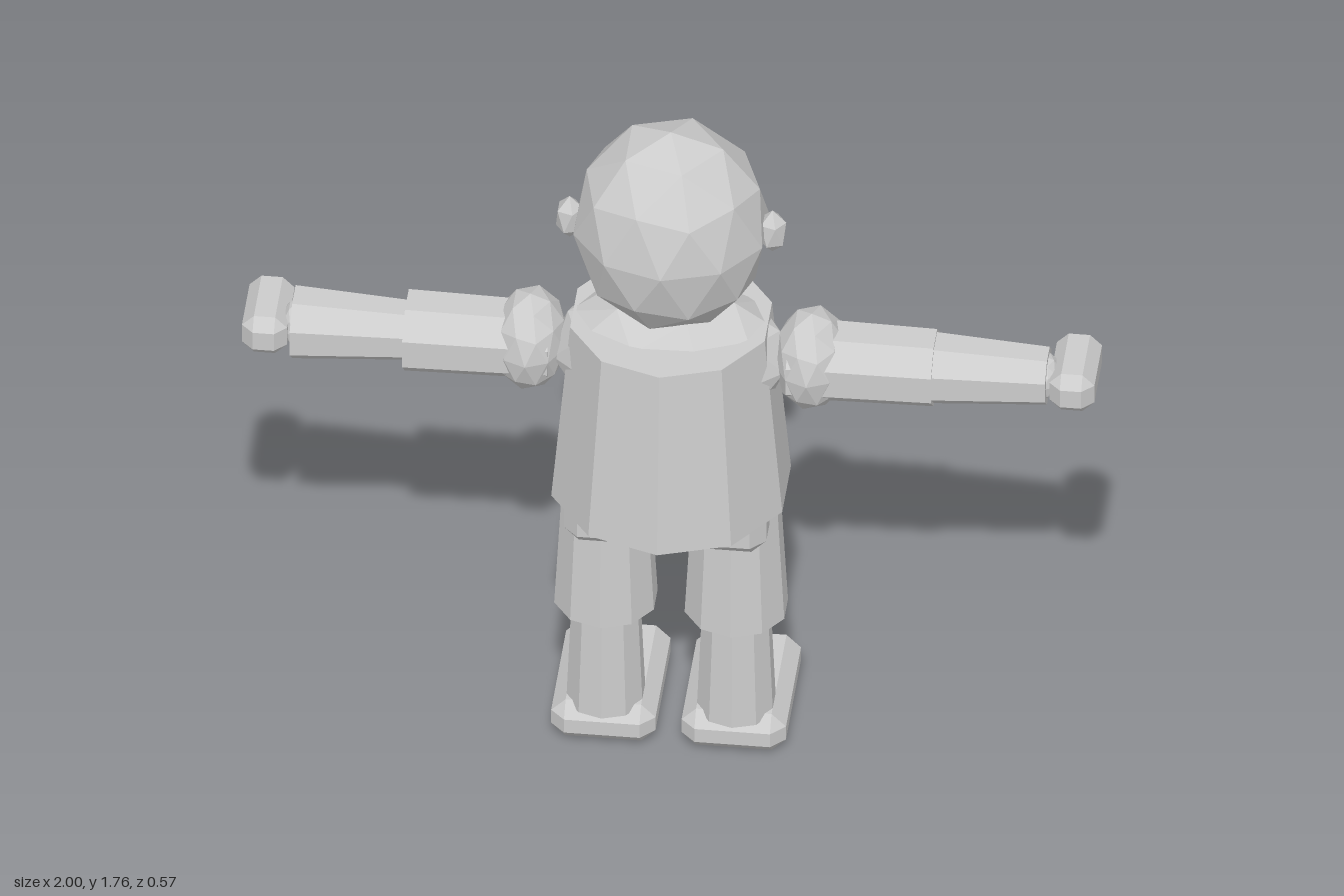
import * as THREE from 'three';
import { ConvexGeometry } from 'three/addons/geometries/ConvexGeometry.js';

const material = new THREE.MeshStandardMaterial({ color: 0xcccccc, flatShading: true });

export function createModel() {
  const model = new THREE.Group();

  function add(name, geometry, x, y, z) {
    const mesh = new THREE.Mesh(geometry, material);
    mesh.name = name;
    mesh.position.set(x, y, z);
    model.add(mesh);
    return mesh;
  }

  // Faceted ellipsoid with a vertex at its top
  function ball(name, x, y, z, rx, ry, rz, detail = 1) {
    const g = new THREE.IcosahedronGeometry(1, detail);
    g.rotateZ(-Math.atan(2 / (1 + Math.sqrt(5))));
    g.scale(rx, ry, rz);
    return add(name, g, x, y, z);
  }

  // Box with every edge cut at 45 degrees
  function chamferBox(name, x, y, z, w, h, d, c) {
    const points = [];
    for (const sx of [-1, 1]) for (const sy of [-1, 1]) for (const sz of [-1, 1]) {
      const [a, b, e] = [w / 2, h / 2, d / 2];
      points.push(
        new THREE.Vector3(sx * a, sy * (b - c), sz * (e - c)),
        new THREE.Vector3(sx * (a - c), sy * b, sz * (e - c)),
        new THREE.Vector3(sx * (a - c), sy * (b - c), sz * e));
    }
    return add(name, new ConvexGeometry(points), x, y, z);
  }

  // Upright tapered ten-sided prism
  function column(name, x, y0, y1, rBottom, rTop) {
    return add(name, new THREE.CylinderGeometry(rTop, rBottom, y1 - y0, 10), x, (y0 + y1) / 2, 0);
  }

  // Tapered octagonal prism lying along x, from x0 up to x1
  function armSection(name, x0, x1, r0, r1) {
    const g = new THREE.CylinderGeometry(r0, r1, x1 - x0, 8, 1, false, Math.PI / 8);
    g.rotateZ(Math.PI / 2);
    g.scale(1, 1, 1.07);
    return add(name, g, (x0 + x1) / 2, 1.125, 0);
  }

  // Head and trunk
  ball('head', 0, 1.495, 0, 0.233, 0.27, 0.22);
  ball('upperChest', 0, 1.12, 0, 0.285, 0.18, 0.18);
  column('torso', 0, 0.735, 1.225, 0.285, 0.24);
  chamferBox('pelvis', 0, 0.74, 0, 0.475, 0.205, 0.315, 0.035);

  // Paired parts
  for (const [side, s] of [['left', 1], ['right', -1]]) {
    const span = (a, b) => (s > 0 ? [a, b] : [-b, -a]);

    ball(side + 'Ear', s * 0.238, 1.495, 0, 0.036, 0.06, 0.037, 0);

    // Arm: both sides taper toward +x
    ball(side + 'Shoulder', s * 0.33, 1.13, 0, 0.088, 0.128, 0.118);
    armSection(side + 'UpperArm', ...span(0.28, 0.62), 0.097, 0.092);
    ball(side + 'Elbow', s * 0.6, 1.125, 0, 0.07, 0.075, 0.075);
    armSection(side + 'Forearm', ...span(0.58, 0.885), 0.087, 0.069);
    ball(side + 'Wrist', s * 0.88, 1.125, 0, 0.035, 0.055, 0.055);
    chamferBox(side + 'Hand', s * 0.947, 1.127, -0.018, 0.106, 0.105, 0.21, 0.028);

    // Leg
    column(side + 'Thigh', s * 0.153, 0.38, 0.76, 0.123, 0.102);
    ball(side + 'Knee', s * 0.153, 0.4, 0, 0.09, 0.09, 0.09);
    column(side + 'Shin', s * 0.153, 0.09, 0.42, 0.094, 0.08);
    chamferBox(side + 'Foot', s * 0.153, 0.053, -0.1, 0.245, 0.106, 0.37, 0.034);
  }

  return model;
}
